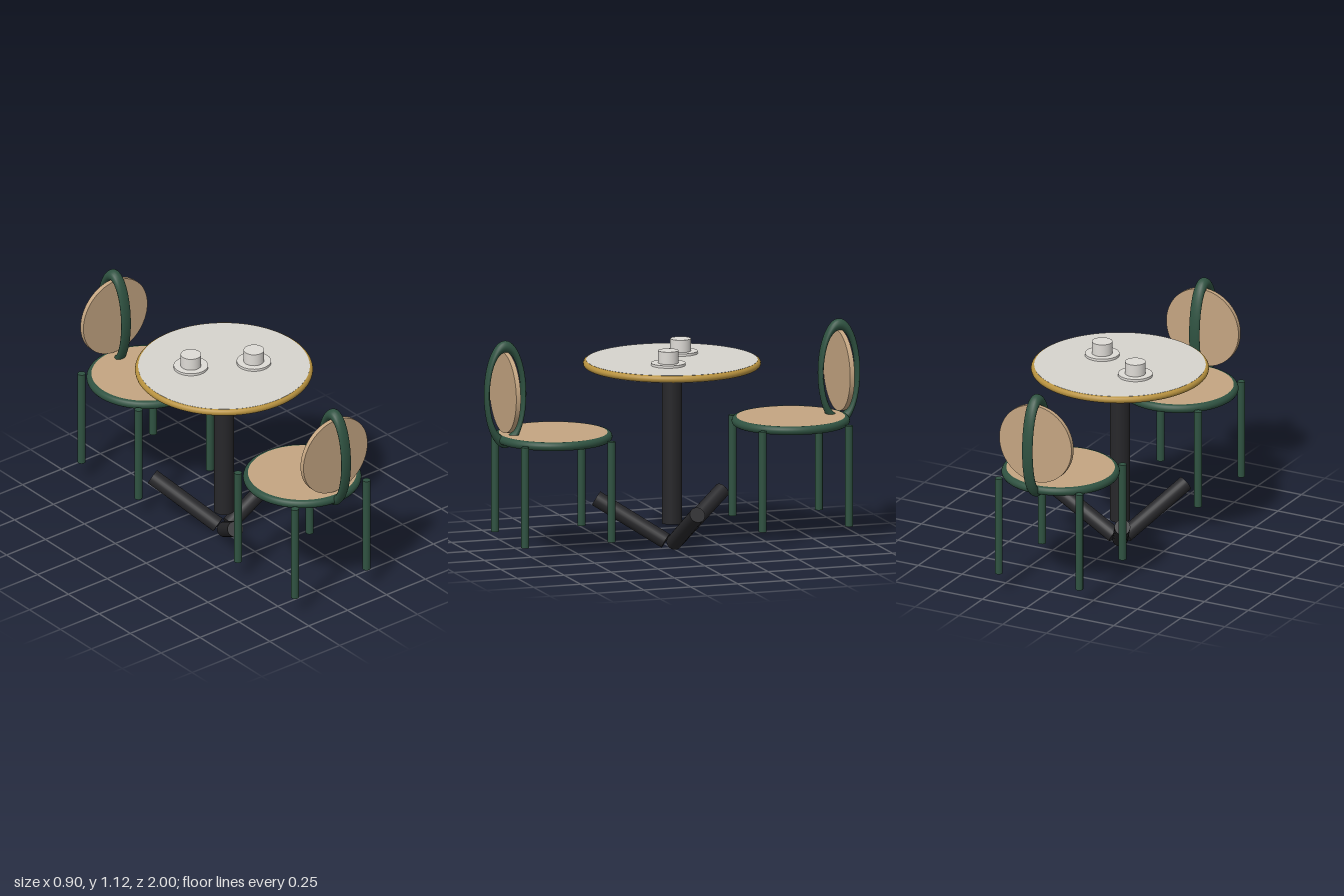
import * as THREE from 'three';

const material = (color) => new THREE.MeshStandardMaterial({ color });

export function createModel() {
  const green = material(0x2f5241);
  const tan = material(0xc4a581);
  const gold = material(0xb8923f);
  const stone = material(0xd6d4ce);
  const black = material(0x27272a);
  const china = material(0xdedbd6);

  function add(parent, name, geometry, mat, x = 0, y = 0, z = 0) {
    const mesh = new THREE.Mesh(geometry, mat);
    mesh.name = name;
    mesh.position.set(x, y, z);
    parent.add(mesh);
    return mesh;
  }
  const disc = (r, h, sides = 64) => new THREE.CylinderGeometry(r, r, h, sides);
  const hoop = (r, tube) => new THREE.TorusGeometry(r, tube, 16, 80);

  // Round table on a column with three splayed feet
  function createTable() {
    const table = new THREE.Group();
    table.name = 'table';
    add(table, 'tableTop', disc(0.432, 0.037, 80), stone, 0, 0.95, 0);
    add(table, 'tableRim', hoop(0.43, 0.018).rotateX(Math.PI / 2), gold, 0, 0.95, 0);
    add(table, 'column', disc(0.051, 0.81, 32), black, 0, 0.535, 0);
    for (let i = 0; i < 3; i++) {
      const foot = new THREE.Group();
      foot.name = 'tableFoot';
      foot.rotation.y = (i * Math.PI * 2) / 3;
      const bar = add(foot, 'footBar', disc(0.04, 0.41, 24), black, 0.21, 0.139, 0);
      bar.rotation.z = -Math.PI / 3;
      table.add(foot);
    }
    return table;
  }

  // Cup standing on a saucer
  function createCup(x, z) {
    const cup = new THREE.Group();
    cup.name = 'cupAndSaucer';
    cup.position.set(x, 0.967, z);
    add(cup, 'saucer', disc(0.087, 0.014, 40), china, 0, 0.007, 0);
    add(cup, 'cup', disc(0.052, 0.064, 40), china, 0, 0.045, 0);
    return cup;
  }

  // Chair with its backrest towards +z
  function createChair() {
    const chair = new THREE.Group();
    chair.name = 'chair';
    add(chair, 'seat', disc(0.278, 0.043), tan, 0, 0.615, 0);
    add(chair, 'seatRim', hoop(0.276, 0.022).rotateX(Math.PI / 2), green, 0, 0.615, 0);
    for (const x of [-0.23, 0.23]) {
      for (const z of [-0.23, 0.23]) {
        add(chair, 'chairLeg', disc(0.02, 0.515, 20), green, x, 0.3575, z);
      }
    }
    // Oval hoop around the round back panel
    const backHoop = add(chair, 'backHoop', hoop(0.245, 0.03).rotateY(Math.PI / 2), green, 0, 0.846, 0.257);
    backHoop.scale.z = 0.397;
    add(chair, 'backPanel', disc(0.206, 0.024).rotateX(Math.PI / 2), tan, 0, 0.857, 0.257);
    return chair;
  }

  const model = new THREE.Group();
  model.name = 'cafeTableSet';
  model.add(createTable(), createCup(-0.138, -0.094), createCup(0.138, 0.068));
  for (const side of [1, -1]) {
    const chair = createChair();
    chair.position.z = side * 0.633;
    if (side < 0) chair.rotation.y = Math.PI;
    model.add(chair);
  }
  return model;
}
